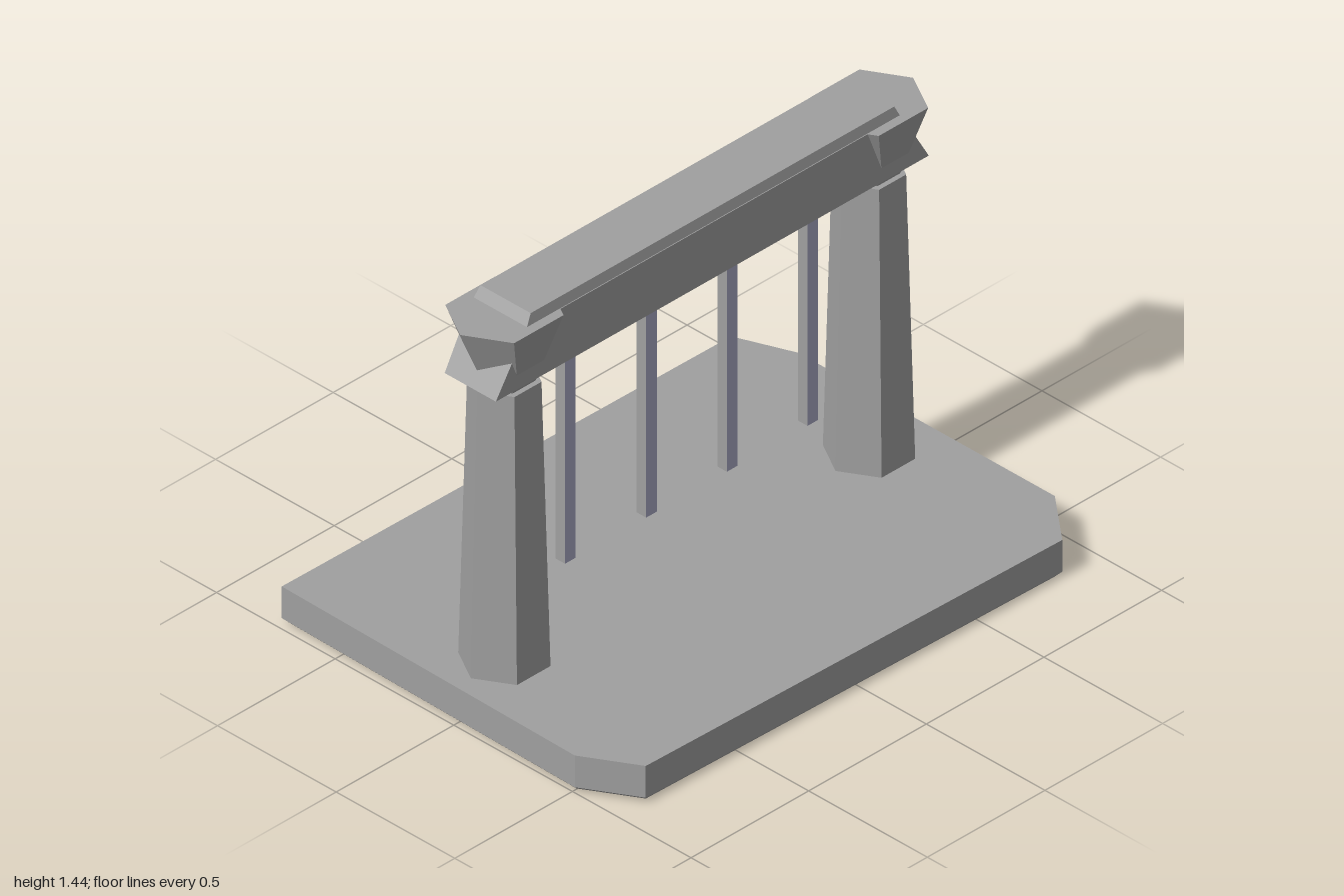
import * as THREE from 'three';

const stone = new THREE.MeshStandardMaterial({ color: 0xa0a0a0 });
stone.name = 'grey stone';
const lilac = new THREE.MeshStandardMaterial({ color: 0xa8a8c4 });
lilac.name = 'pale lilac';

// Flat-faced solid through stacked rings of [x, z]; rings run anticlockwise seen from above
function loft(name, layers) {
  const pos = [];
  const n = layers[0].ring.length;
  const at = (l, i) => [l.ring[i % n][0], l.y, l.ring[i % n][1]];
  const tri = (a, b, c) => pos.push(...a, ...b, ...c);
  for (let k = 0; k < layers.length - 1; k++) {
    const lo = layers[k], hi = layers[k + 1];
    for (let i = 0; i < n; i++) {
      tri(at(lo, i), at(lo, i + 1), at(hi, i + 1));
      tri(at(lo, i), at(hi, i + 1), at(hi, i));
    }
  }
  const bottom = layers[0], top = layers[layers.length - 1];
  for (let i = 1; i < n - 1; i++) {
    tri(at(top, 0), at(top, i), at(top, i + 1));
    tri(at(bottom, 0), at(bottom, i + 1), at(bottom, i));
  }
  const geo = new THREE.BufferGeometry();
  geo.setAttribute('position', new THREE.Float32BufferAttribute(pos, 3));
  geo.computeVertexNormals();
  const mesh = new THREE.Mesh(geo, stone);
  mesh.name = name;
  return mesh;
}

// Hexagon with points on the x axis and flat sides facing front and back
const hex = (y, r, half = r / 2, z = r * 0.866) => ({
  y, ring: [[r, 0], [half, -z], [-half, -z], [-r, 0], [-half, z], [half, z]],
});
const rect = (y, x0, x1, z) => ({ y, ring: [[x0, -z], [x0, z], [x1, z], [x1, -z]] });

export function createModel() {
  const model = new THREE.Group();
  model.name = 'stoneGate';

  // Plinth with uneven clipped corners and a small bevel underneath
  const outline = [[-0.98, -0.745], [-1, 0.51], [-0.89, 0.7], [0.84, 0.74],
    [0.99, 0.56], [0.99, -0.52], [0.91, -0.725]];
  const inset = outline.map(([x, z]) => [x * 0.98, z * 0.975]);
  model.add(loft('base', [
    { y: 0, ring: inset }, { y: 0.02, ring: outline }, { y: 0.135, ring: outline },
  ]));

  // Tapering pillars, each with a pinched neck and a flared capital
  for (const [side, x] of [['right', -0.785], ['left', 0.765]]) {
    const pillar = new THREE.Group();
    pillar.name = side + 'Pillar';
    pillar.position.x = x;
    pillar.add(
      loft('shaft', [hex(0.13, 0.143), hex(1.16, 0.115)]),
      loft('neck', [hex(1.155, 0.092), hex(1.2, 0.118)]),
      loft('capital', [hex(1.2, 0.1, 0.045, 0.1), hex(1.4, 0.187, 0.105, 0.145)]),
    );
    model.add(pillar);
  }

  // Lintel with sloping ends and a shallow raised top
  model.add(loft('lintel', [rect(1.19, -0.93, 0.91, 0.108), rect(1.4, -0.805, 0.785, 0.115)]));
  model.add(loft('lintelTop', [rect(1.395, -0.805, 0.785, 0.113), rect(1.437, -0.78, 0.765, 0.106)]));

  // Hanging bars, lilac on the front face only
  const barGeo = new THREE.BoxGeometry(0.045, 0.745, 0.04);
  [-0.525, -0.18, 0.163, 0.506].forEach((x, i) => {
    const bar = new THREE.Mesh(barGeo, [stone, stone, stone, stone, lilac, stone]);
    bar.name = 'bar' + (i + 1);
    bar.position.set(x, 0.7475, 0);
    model.add(bar);
  });

  return model;
}
